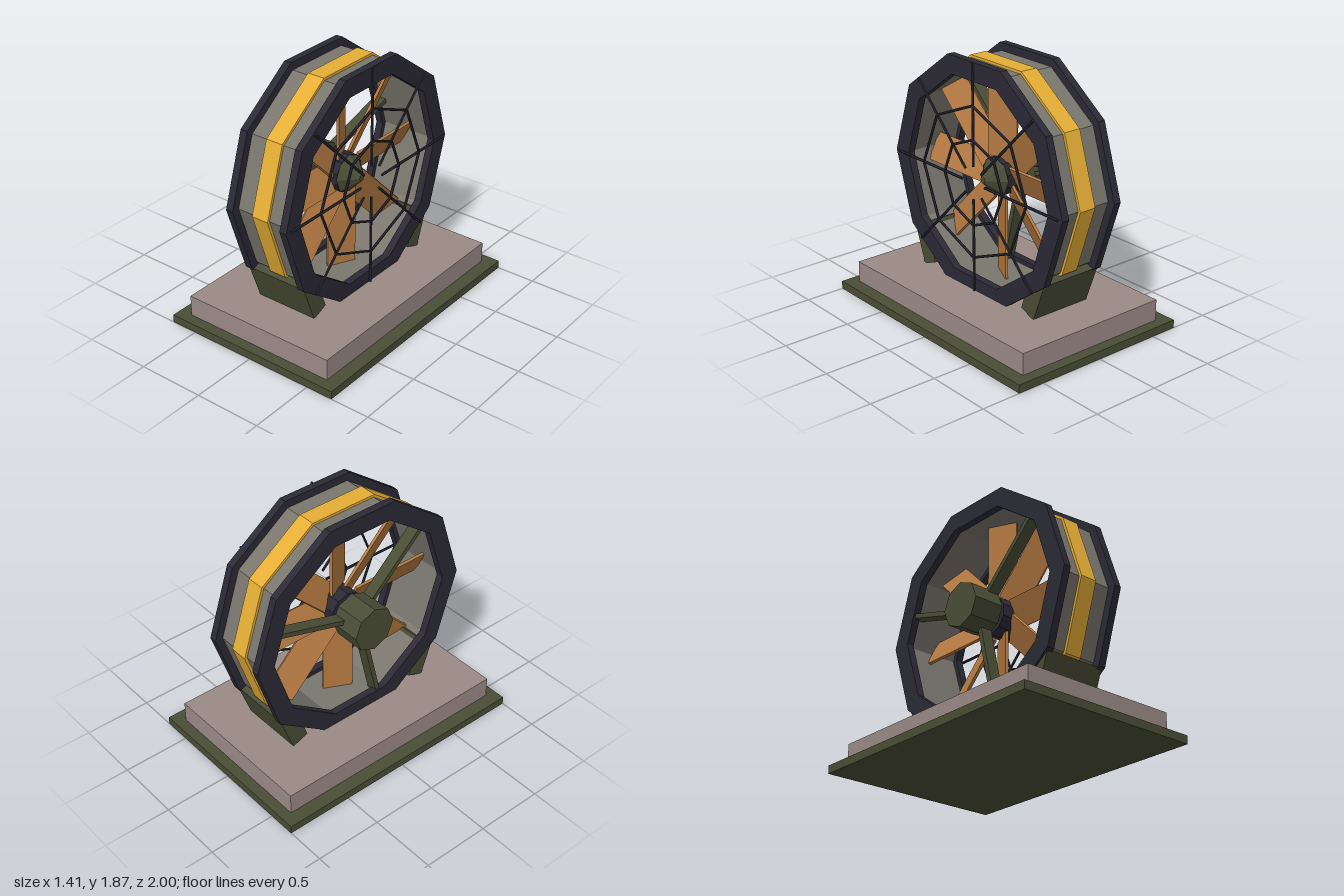
import * as THREE from 'three';

const paint = (color) => new THREE.MeshStandardMaterial({ color, flatShading: true });
const GREEN = paint(0x4a4d36), MAUVE = paint(0x9b8a86), DARK = paint(0x2b2a35);
const GREY = paint(0x7a766e), YELLOW = paint(0xe5ae36), WOOD = paint(0xb57a42);

function add(parent, name, geometry, material, x = 0, y = 0, z = 0) {
  const mesh = new THREE.Mesh(geometry, material);
  mesh.name = name;
  mesh.position.set(x, y, z);
  parent.add(mesh);
  return mesh;
}

// Points of a regular polygon with a corner on the +x axis
function polygon(sides, radius) {
  return Array.from({ length: sides }, (_, i) => {
    const a = (i / sides) * Math.PI * 2;
    return new THREE.Vector2(Math.cos(a) * radius, Math.sin(a) * radius);
  });
}

// Ten-sided hoop, extruded along z from z0 to z1
function hoop(outer, inner, z0, z1) {
  const shape = new THREE.Shape(polygon(10, outer));
  shape.holes.push(new THREE.Path(polygon(10, inner)));
  return new THREE.ExtrudeGeometry(shape, { depth: z1 - z0, bevelEnabled: false }).translate(0, 0, z0);
}

// Cylinder or cone running along z, r0 at z0 and r1 at z1
function drum(r0, r1, z0, z1, sides) {
  return new THREE.CylinderGeometry(r1, r0, z1 - z0, sides)
    .rotateX(Math.PI / 2).translate(0, 0, (z0 + z1) / 2);
}

// Copies of a part around the axle
function radial(parent, name, count, start, build) {
  for (let i = 0; i < count; i++) {
    const arm = new THREE.Group();
    arm.name = name;
    arm.rotation.z = start + (i / count) * Math.PI * 2;
    build(arm);
    parent.add(arm);
  }
}

export function createModel() {
  const model = new THREE.Group();
  model.name = 'ventilationFan';

  // Stepped base
  add(model, 'basePlate', new THREE.BoxGeometry(1.41, 0.06, 2), GREEN, 0, 0.03, 0);
  add(model, 'plinth', new THREE.BoxGeometry(1.21, 0.157, 1.84), MAUVE, 0, 0.1385, 0);

  // Slanted feet under the housing
  for (const side of [1, -1]) {
    const foot = add(model, 'foot', new THREE.BoxGeometry(0.48, 0.3, 0.133), GREEN, 0, 0.376, side * 0.59);
    foot.rotation.x = side * 0.35;
  }

  // Fan assembly: local z is the axle, pointing to +x
  const fan = new THREE.Group();
  fan.name = 'fan';
  fan.position.y = 1.02;
  fan.rotation.y = Math.PI / 2;
  model.add(fan);

  // Housing, painted band and end rims
  add(fan, 'housing', hoop(0.83, 0.785, -0.21, 0.21), GREY);
  add(fan, 'band', hoop(0.85, 0.82, -0.066, 0.066), YELLOW);
  add(fan, 'frontRim', hoop(0.89, 0.75, 0.2, 0.256), DARK);
  add(fan, 'rearRim', hoop(0.89, 0.75, -0.256, -0.2), DARK);

  // Hub with nose cone
  add(fan, 'hub', drum(0.14, 0.14, -0.11, 0.07, 10), DARK);
  add(fan, 'noseCone', drum(0.14, 0.025, 0.07, 0.18, 8), GREEN);

  // Pitched blades
  radial(fan, 'blade', 8, 0, (arm) => {
    const blade = add(arm, 'bladePanel', new THREE.BoxGeometry(0.64, 0.215, 0.02), WOOD, 0.45, 0, 0);
    blade.rotation.x = 0.46;
  });

  // Motor and its three struts
  add(fan, 'motor', drum(0.167, 0.167, -0.385, -0.15, 8), GREEN);
  radial(fan, 'strut', 3, 0.29, (arm) => {
    add(arm, 'strutBar', new THREE.BoxGeometry(0.66, 0.035, 0.09), GREEN, 0.455, 0, -0.195);
  });

  // Wire guard: spokes and two eight-sided wires
  radial(fan, 'guardSpoke', 8, 0, (arm) => {
    add(arm, 'spokeBar', new THREE.CylinderGeometry(0.01, 0.01, 0.73, 6).rotateZ(Math.PI / 2), DARK, 0.485, 0, 0.262);
  });
  for (const r of [0.31, 0.55]) {
    add(fan, 'guardWire', new THREE.TorusGeometry(r, 0.01, 6, 8), DARK, 0, 0, 0.266);
  }

  return model;
}
